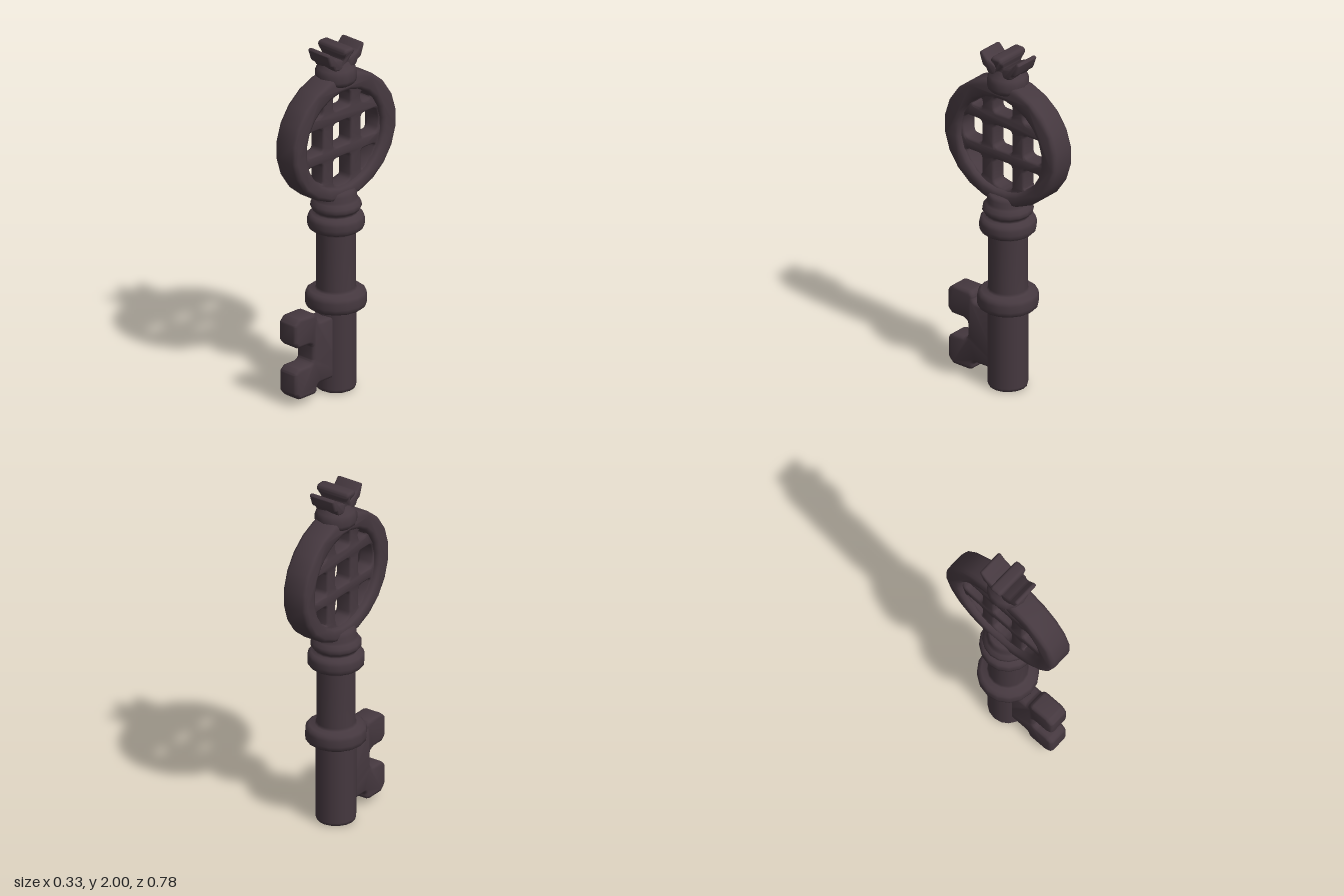
import * as THREE from 'three';
import { toCreasedNormals } from 'three/addons/utils/BufferGeometryUtils.js';

const iron = new THREE.MeshStandardMaterial({ color: 0x45383f });
iron.name = 'dark iron';

const V = (p) => new THREE.Vector2(p[0], p[1]);

// Points of an ellipse centred on z = 0
function ellipse(cy, rz, ry, n) {
  return Array.from({ length: n }, (_, i) => {
    const a = ((i + 0.5) / n) * Math.PI * 2;
    return [Math.cos(a) * rz, cy + Math.sin(a) * ry];
  });
}

// Replace every corner by a small curve
function rounded(pts, r, Type = THREE.Path) {
  const path = new Type(), n = pts.length;
  pts.forEach((p, i) => {
    const c = V(p), a = V(pts[(i + n - 1) % n]), b = V(pts[(i + 1) % n]);
    const cut = (q) => c.clone().lerp(q, Math.min(0.45, r / c.distanceTo(q)));
    const s = cut(a), e = cut(b);
    if (i) path.lineTo(s.x, s.y); else path.moveTo(s.x, s.y);
    path.quadraticCurveTo(c.x, c.y, e.x, e.y);
  });
  path.closePath();
  return path;
}

// Bevelled plate drawn in (z, y), centred on x = 0
function plate(name, shape, width, bevel) {
  const g = new THREE.ExtrudeGeometry(shape, {
    depth: width - 2 * bevel, bevelThickness: bevel, bevelSize: bevel,
    bevelOffset: -bevel, bevelSegments: 2, curveSegments: 3,
  });
  g.translate(0, 0, bevel - width / 2).rotateY(-Math.PI / 2);
  const mesh = new THREE.Mesh(toCreasedNormals(g, 0.9), iron);
  mesh.name = name;
  return mesh;
}

function turned(name, profile, sides) {
  const g = new THREE.LatheGeometry(profile.map(V), sides);
  const mesh = new THREE.Mesh(g, iron);
  mesh.name = name;
  return mesh;
}

export function createModel() {
  const key = new THREE.Group();
  key.name = 'key';

  // Shaft with its collars
  key.add(turned('shaft', [
    [0, 0], [0.09, 0], [0.105, 0.008], [0.11, 0.025], [0.11, 0.46], [0.115, 0.475],
    [0.15, 0.478], [0.164, 0.49], [0.167, 0.51], [0.167, 0.545], [0.162, 0.565], [0.145, 0.577],
    [0.115, 0.58], [0.107, 0.595], [0.107, 0.91], [0.113, 0.928], [0.14, 0.932], [0.153, 0.945],
    [0.155, 0.965], [0.155, 0.99], [0.15, 1.008], [0.135, 1.018], [0.118, 1.024], [0.116, 1.035],
    [0.13, 1.045], [0.139, 1.06], [0.137, 1.08], [0.122, 1.1], [0.112, 1.112], [0.112, 1.14],
    [0.1, 1.16], [0, 1.175],
  ], 16));

  // Bit
  key.add(plate('bit', rounded([
    [0, 0.45], [0.18, 0.45], [0.2, 0.465], [0.2, 0.485], [0.22, 0.51], [0.34, 0.51],
    [0.373, 0.48], [0.373, 0.37], [0.345, 0.34], [0.26, 0.34], [0.235, 0.325], [0.235, 0.235],
    [0.255, 0.22], [0.34, 0.22], [0.37, 0.195], [0.37, 0.075], [0.335, 0.04], [0.22, 0.04],
    [0.2, 0.055], [0.2, 0.08], [0.185, 0.095], [0, 0.095],
  ], 0.01, THREE.Shape), 0.125, 0.018));

  // Bow rim
  const rim = new THREE.Shape(ellipse(1.475, 0.392, 0.365, 22).map(V));
  rim.holes.push(new THREE.Path(ellipse(1.4625, 0.288, 0.277, 24).map(V)));
  key.add(plate('bowRim', rim, 0.152, 0.022));

  // Lattice inside the bow
  const lattice = new THREE.Shape(ellipse(1.4625, 0.32, 0.305, 24).map(V));
  const hole = (pts) => lattice.holes.push(rounded(pts, 0.025));
  hole([[-0.065, 1.42], [0.065, 1.42], [0.065, 1.56], [-0.065, 1.56]]);
  hole([[-0.065, 1.635], [0.065, 1.635], [0.065, 1.72], [0, 1.738], [-0.065, 1.72]]);
  hole([[-0.065, 1.355], [0.065, 1.355], [0.065, 1.205], [0, 1.187], [-0.065, 1.205]]);
  for (const s of [1, -1]) {
    hole([[0.145, 1.42], [0.265, 1.42], [0.284, 1.49], [0.265, 1.56], [0.145, 1.56]].map(([z, y]) => [z * s, y]));
    hole([[0.142, 1.632], [0.222, 1.632], [0.19, 1.675], [0.142, 1.695]].map(([z, y]) => [z * s, y]));
    hole([[0.145, 1.355], [0.26, 1.355], [0.22, 1.285], [0.145, 1.225]].map(([z, y]) => [z * s, y]));
  }
  key.add(plate('bowLattice', lattice, 0.095, 0.012));

  // Crown foot
  key.add(turned('crownFoot', [
    [0, 1.77], [0.09, 1.775], [0.108, 1.79], [0.114, 1.81], [0.114, 1.845], [0.105, 1.868],
    [0.088, 1.885], [0.08, 1.905], [0.07, 1.92], [0, 1.93],
  ], 14));

  // Front and back crown prongs
  for (const s of [1, -1]) {
    const prong = rounded([
      [0.02, 1.87], [0.08, 1.88], [0.09, 1.905], [0.115, 1.915], [0.14, 1.985],
      [0.122, 1.994], [0.085, 1.955], [0.02, 1.93],
    ].map(([z, y]) => [z * s, y]), 0.01, THREE.Shape);
    key.add(plate(s > 0 ? 'frontProng' : 'backProng', prong, 0.156, 0.01));
  }

  // Middle prong, flaring to the sides at its top
  const middle = plate('middleProng', rounded([
    [-0.045, 1.88], [0.045, 1.88], [0.03, 1.935], [0.04, 1.975], [0.03, 2], [-0.03, 2],
    [-0.04, 1.975], [-0.03, 1.935],
  ], 0.012, THREE.Shape), 0.15, 0.012);
  const pos = middle.geometry.attributes.position;
  for (let i = 0; i < pos.count; i++) {
    const t = THREE.MathUtils.smoothstep(pos.getY(i), 1.92, 1.985);
    pos.setX(i, pos.getX(i) * (1 + 0.42 * t));
  }
  middle.geometry = toCreasedNormals(middle.geometry, 0.9);
  key.add(middle);

  return key;
}
